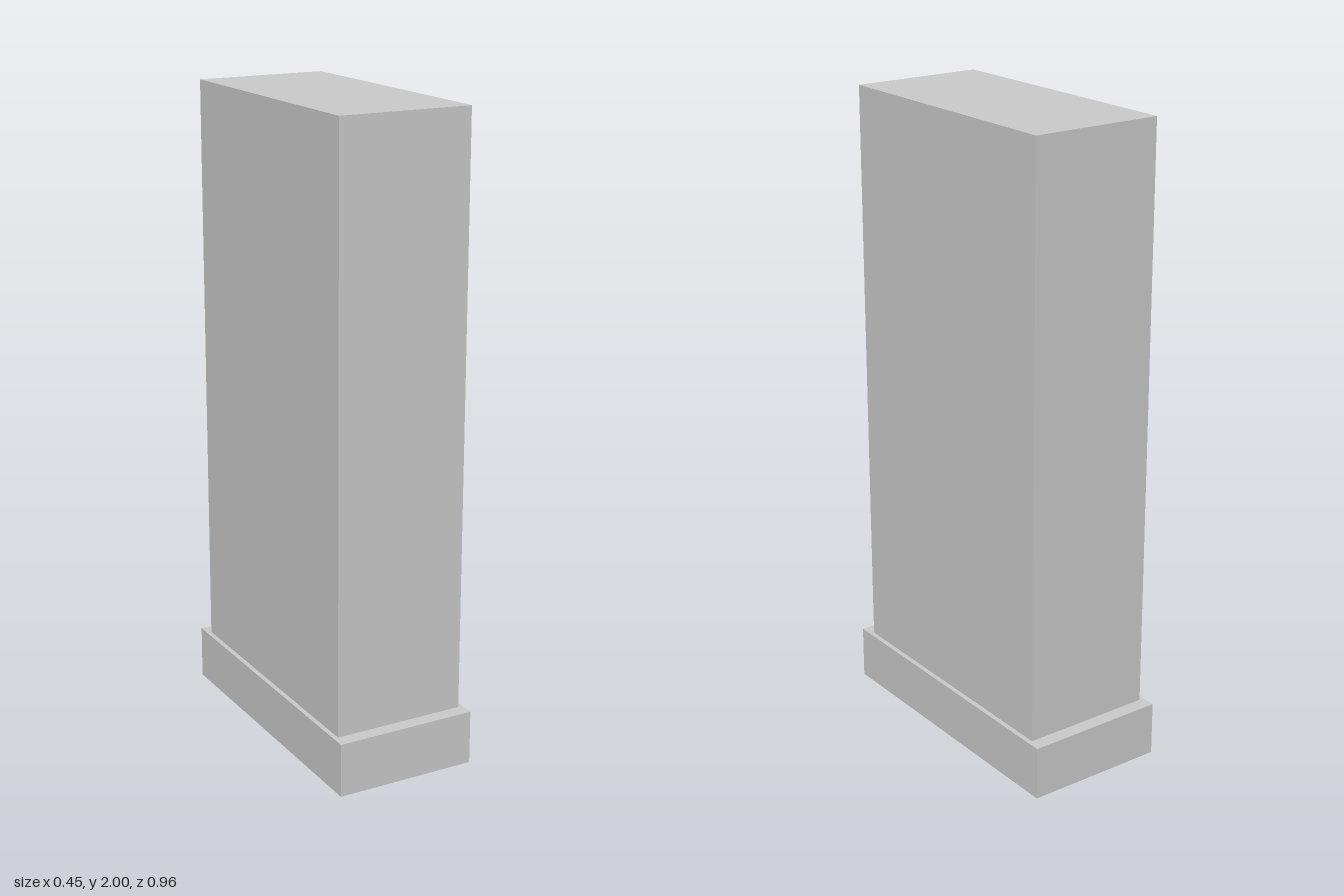
import * as THREE from 'three';

export function createModel() {
  const model = new THREE.Group();
  model.name = 'pillarOnPlinth';
  const material = new THREE.MeshStandardMaterial({ color: 0xcccccc });

  // Box standing on a given height
  function addBlock(name, width, height, depth, bottom) {
    const mesh = new THREE.Mesh(new THREE.BoxGeometry(width, height, depth), material);
    mesh.name = name;
    mesh.position.y = bottom + height / 2;
    model.add(mesh);
  }

  const plinthHeight = 0.17;

  // Low, slightly wider foot
  addBlock('plinth', 0.45, plinthHeight, 0.96, 0);

  // Tall rectangular shaft
  addBlock('shaft', 0.42, 2 - plinthHeight, 0.87, plinthHeight);

  return model;
}
